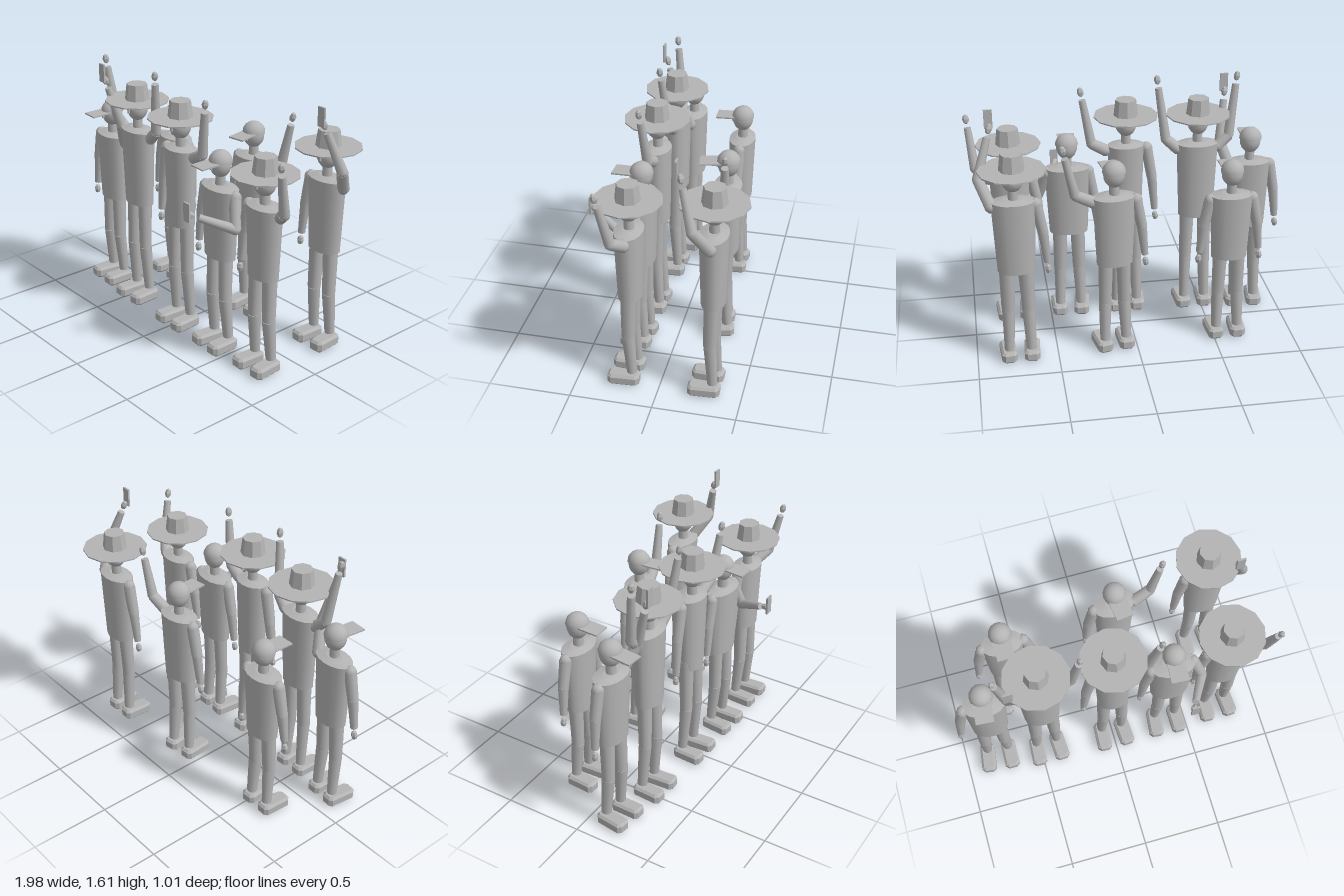
import * as THREE from 'three';

const grey = new THREE.MeshStandardMaterial({ color: 0xb4b4b4 });
grey.name = 'plain grey';

const UP = new THREE.Vector3(0, 1, 0);
const vec = (x, y, z) => new THREE.Vector3(x, y, z);

function add(parent, name, geometry, x = 0, y = 0, z = 0) {
  const mesh = new THREE.Mesh(geometry, grey);
  mesh.name = name;
  mesh.position.set(x, y, z);
  parent.add(mesh);
  return mesh;
}

// Unshared vertices give hard facets
function faceted(geometry) {
  const g = geometry.index ? geometry.toNonIndexed() : geometry;
  g.computeVertexNormals();
  return g;
}

// Tapered limb between two points
function limb(parent, name, a, b, ra, rb) {
  const dir = b.clone().sub(a);
  const mesh = add(parent, name, new THREE.CylinderGeometry(rb, ra, dir.length(), 10));
  mesh.position.copy(a).addScaledVector(dir, 0.5);
  mesh.quaternion.setFromUnitVectors(UP, dir.normalize());
}

// Chamfered shoe block: a rectangle with cut corners, bevelled
function shoeGeometry() {
  const w = 0.034, l = 0.082, c = 0.012;
  const outline = new THREE.Shape();
  outline.moveTo(-w + c, -l).lineTo(w - c, -l).lineTo(w, -l + c).lineTo(w, l - c);
  outline.lineTo(w - c, l).lineTo(-w + c, l).lineTo(-w, l - c).lineTo(-w, -l + c);
  const g = new THREE.ExtrudeGeometry(outline, {
    depth: 0.042, bevelEnabled: true, bevelSize: 0.014, bevelThickness: 0.014, bevelSegments: 1,
  });
  return faceted(g.rotateX(-Math.PI / 2));
}

// Elbow and wrist offsets from the shoulder, outward along x
const poses = {
  cheer: { elbow: vec(0.07, 0.063, 0.01), wrist: vec(0.113, 0.388, 0.045) },
  greet: { elbow: vec(0.085, 0.045, 0.01), wrist: vec(0.135, 0.325, 0.035) },
  wave: { elbow: vec(0.078, 0.055, 0.05), wrist: vec(0.108, 0.305, 0.105) },
  waveWide: { elbow: vec(0.105, 0.06, -0.02), wrist: vec(0.16, 0.3, -0.03) },
  filmHigh: { elbow: vec(0.053, 0.15, 0.06), wrist: vec(0.02, 0.4, 0.13), phone: true },
  filmOverhead: { elbow: vec(0.065, 0.14, 0.085), wrist: vec(-0.003, 0.37, 0.15), phone: true },
  filmLow: { elbow: vec(0.055, -0.17, 0.045), wrist: vec(-0.05, -0.075, 0.235), phone: true },
};

// Relaxed arm whose length follows the coat
const hanging = (drop) => ({
  elbow: vec(0.036, -drop * 0.48, 0), wrist: vec(0.056, -drop, 0.005),
});

function arm(parent, side, shoulder, pose) {
  const g = new THREE.Group();
  g.name = side > 0 ? 'leftArm' : 'rightArm';
  g.position.copy(shoulder);
  parent.add(g);
  const mirror = vec(side, 1, 1);
  const elbow = pose.elbow.clone().multiply(mirror);
  const wrist = pose.wrist.clone().multiply(mirror);
  add(g, 'shoulder', new THREE.SphereGeometry(0.038, 8, 6));
  limb(g, 'upperArm', vec(0, 0, 0), elbow, 0.037, 0.033);
  add(g, 'elbow', new THREE.SphereGeometry(0.032, 8, 6), ...elbow);
  limb(g, 'forearm', elbow, wrist, 0.032, 0.022);
  const dir = wrist.clone().sub(elbow).normalize();
  const palm = wrist.clone().addScaledVector(dir, 0.052);
  const hand = add(g, 'hand', faceted(new THREE.SphereGeometry(0.021, 6, 4).scale(1, 1.5, 1)), ...palm);
  hand.quaternion.setFromUnitVectors(UP, dir);
  if (pose.phone) {
    add(g, 'phone', new THREE.BoxGeometry(0.05, 0.115, 0.012), palm.x, palm.y + dir.y * 0.055, palm.z + 0.022);
  }
}

function person({ name, x, z, top, hat, yaw = 0, width = 1, right, left }) {
  const g = new THREE.Group();
  g.name = name;
  g.position.set(x, 0, z);
  const body = new THREE.Group();
  body.name = 'body';
  body.rotation.y = yaw;
  g.add(body);

  // Oval coat with a sloping yoke
  const hem = top * 0.58;
  const coat = add(body, 'coat', new THREE.CylinderGeometry(0.132, 0.112, top - hem, 16), 0, (top + hem) / 2, 0);
  coat.scale.set(width, 1, 0.64);
  const yoke = add(body, 'yoke', new THREE.CylinderGeometry(0.06, 0.132, 0.014, 16), 0, top + 0.007, 0);
  yoke.scale.set(width, 1, 0.64);

  for (const s of [-1, 1]) {
    // Leg and shoe
    const knee = vec(s * 0.061, hem * 0.56, 0.006);
    limb(body, 'thigh', vec(s * 0.055, hem + 0.06, 0), knee, 0.047, 0.04);
    limb(body, 'shin', knee, vec(s * 0.068, 0.085, -0.012), 0.04, 0.031);
    add(body, 'shoe', shoeGeometry(), s * 0.074, 0.018, 0.038).rotation.y = s * 0.06;
    // Eye
    add(body, 'eye', new THREE.BoxGeometry(0.017, 0.007, 0.008), s * 0.025, top + 0.151, 0.061);
    // Arm
    const pose = poses[s > 0 ? left : right] ?? hanging(top - hem - 0.07);
    arm(g, s, vec(s * 0.13, top - 0.03, 0), pose);
  }

  // Neck, head and nose
  add(body, 'neck', new THREE.CylinderGeometry(0.029, 0.031, 0.09, 10), 0, top + 0.04, 0);
  add(body, 'head', new THREE.SphereGeometry(0.066, 14, 10), 0, top + 0.14, 0).scale.y = 1.22;
  add(body, 'nose', new THREE.BoxGeometry(0.013, 0.03, 0.014), 0, top + 0.132, 0.066);

  if (hat) {
    // Wide-brimmed hat
    add(body, 'hatBrim', faceted(new THREE.CylinderGeometry(0.2, 0.2, 0.008, 12)), 0, top + 0.193, 0);
    add(body, 'hatCrown', faceted(new THREE.CylinderGeometry(0.064, 0.077, 0.105, 8)), 0, top + 0.245, 0);
  } else {
    // Cap with a flat peak
    add(body, 'capDome', new THREE.SphereGeometry(0.071, 14, 6, 0, Math.PI * 2, 0, Math.PI / 2), 0, top + 0.154, 0);
    add(body, 'capPeak', new THREE.BoxGeometry(0.108, 0.009, 0.13), 0, top + 0.155, 0.105).rotation.x = 0.04;
  }
  return g;
}

// Arms without a pose hang down
const crowd = [
  { name: 'frontCapPersonA', x: -0.78, z: 0.13, top: 1.05, yaw: -0.08, left: 'filmHigh' },
  { name: 'frontHatPersonA', x: -0.45, z: 0.17, top: 1.177, hat: true, right: 'cheer', left: 'cheer' },
  { name: 'frontHatPersonB', x: 0, z: 0.19, top: 1.185, hat: true, width: 0.87, left: 'greet' },
  { name: 'frontCapPersonB', x: 0.37, z: 0.195, top: 1.053, yaw: -0.06, width: 1.08, left: 'filmLow' },
  { name: 'frontHatPersonC', x: 0.73, z: 0.18, top: 1.045, hat: true, width: 0.96, left: 'wave' },
  { name: 'backCapPersonA', x: -0.58, z: -0.235, top: 1.0 },
  { name: 'backCapPersonB', x: 0.14, z: -0.275, top: 1.06, yaw: 0.13, left: 'waveWide' },
  { name: 'backHatPerson', x: 0.735, z: -0.31, top: 1.09, hat: true, left: 'filmOverhead' },
];

export function createModel() {
  const group = new THREE.Group();
  group.name = 'crowd';
  for (const p of crowd) group.add(person(p));
  return group;
}
